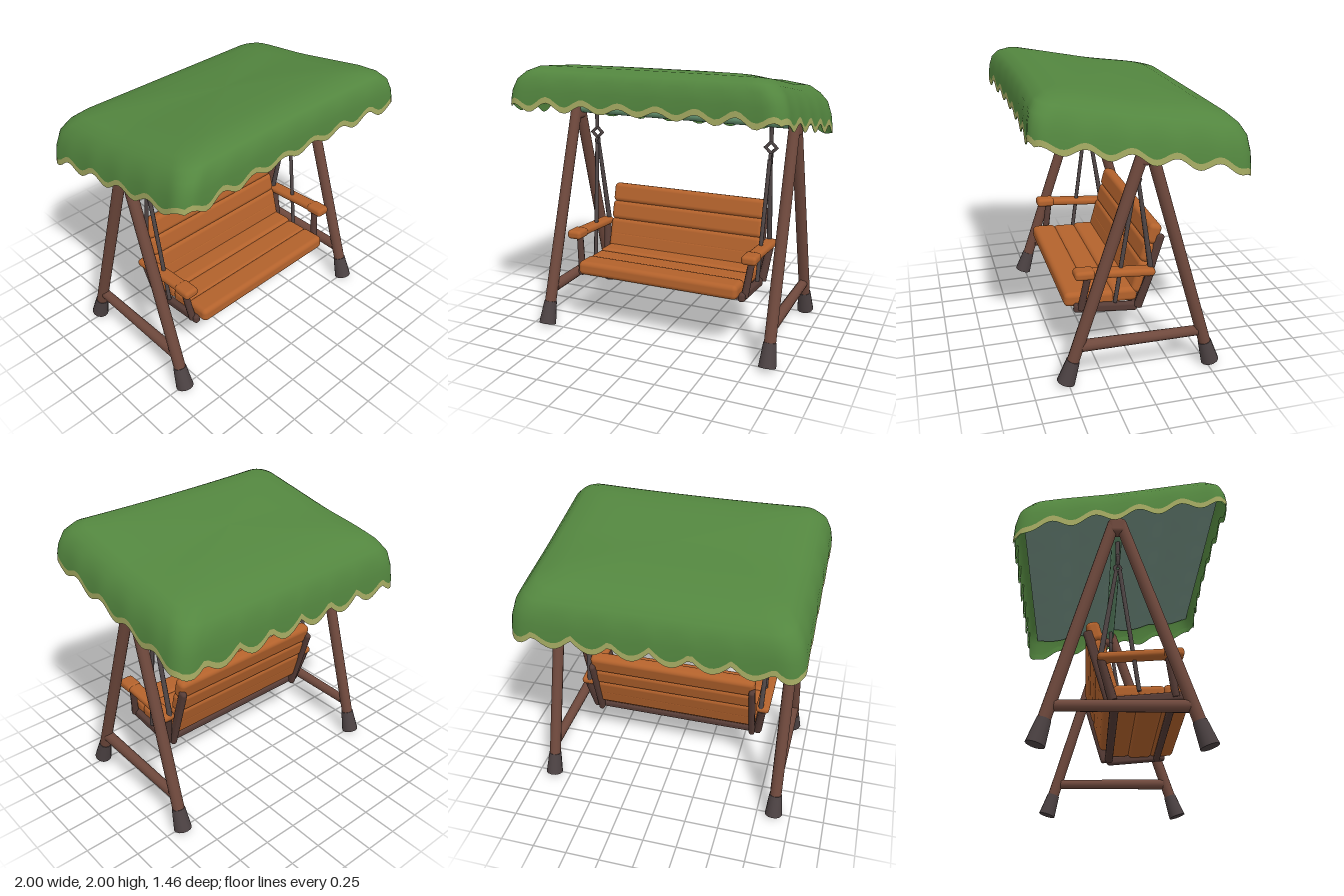
import * as THREE from 'three';
import { RoundedBoxGeometry } from 'three/addons/geometries/RoundedBoxGeometry.js';

const mat = (name, color, side = THREE.FrontSide) => {
  const m = new THREE.MeshStandardMaterial({ color, side });
  m.name = name;
  return m;
};

export function createModel() {
  const root = new THREE.Group();
  root.name = 'gardenSwing';
  const green = mat('canopyGreen', 0x53863f, THREE.DoubleSide);
  const trim = mat('trimGreen', 0xa5aa62);
  const lining = mat('liningGrey', 0x7a998b, THREE.DoubleSide);
  const beamMat = mat('beamGreen', 0x64926f);
  const brown = mat('frameBrown', 0x6f493d);
  const footMat = mat('footGrey', 0x4c4243);
  const metal = mat('hangerGrey', 0x514747);
  const darkWood = mat('seatFrameBrown', 0x563c36);
  const wood = mat('orangeWood', 0xb3622c);

  const add = (name, geo, material) => {
    const m = new THREE.Mesh(geo, material);
    m.name = name;
    root.add(m);
    return m;
  };
  // Round bar between two points, radius ra at a and rb at b
  const bar = (name, a, b, ra, rb, material, sides = 12) => {
    const A = new THREE.Vector3(...a), B = new THREE.Vector3(...b);
    const d = B.clone().sub(A);
    const m = add(name, new THREE.CylinderGeometry(rb, ra, d.length(), sides), material);
    m.position.copy(A).add(B).multiplyScalar(0.5);
    m.quaternion.setFromUnitVectors(new THREE.Vector3(0, 1, 0), d.normalize());
  };
  // Rounded board with a tilt about x
  const board = (name, size, pos, tilt, material, r = 0.025) => {
    const m = add(name, new RoundedBoxGeometry(...size, 3, r), material);
    m.position.set(...pos);
    m.rotation.x = tilt;
  };

  // Canopy: rounded rectangular rings stacked above a sloping plane
  const planeY = z => 1.605 + 0.19 * z;
  const perimeter = [];
  const N = 56;
  for (const [sx, sz, dx, dz] of [[-1, 1, 1, 0], [1, 1, 0, -1], [1, -1, -1, 0], [-1, -1, 0, 1]])
    for (let i = 0; i < N; i++) perimeter.push([sx + dx * 2 * i / N, sz + dz * 2 * i / N, dx !== 0]);

  const ringPoint = ([u, v, alongX], [hx, hz, h, wave]) => {
    const r = Math.min(0.13, hx, hz);
    let x = u * hx, z = v * hz;
    const cx = THREE.MathUtils.clamp(x, r - hx, hx - r), cz = THREE.MathUtils.clamp(z, r - hz, hz - r);
    const ex = x - cx, ez = z - cz, len = Math.hypot(ex, ez);
    if (Math.abs(ex) > 1e-6 && Math.abs(ez) > 1e-6) {
      x = cx + ex / len * r;
      z = cz + ez / len * r;
    }
    // Scallops: soft at the front and sides, deep with sharp peaks at the back
    const corner = Math.pow(Math.abs(alongX ? u : v), 8);
    let scallop;
    if (!alongX) scallop = 0.03 * Math.cos(2 * Math.PI * (z - 0.39) / 0.29);
    else if (v > 0) scallop = -(0.022 + 0.03 * x * x) * Math.cos(2 * Math.PI * x / 0.27);
    else scallop = 0.045 - 0.09 * Math.abs(Math.sin(Math.PI * x / 0.27));
    const drop = v < 0 ? 0.04 * corner : 0;
    // The back of the top is a little fuller
    const full = 1 + 0.07 * THREE.MathUtils.smoothstep(-z, 0, 0.5);
    const y = planeY(z) + h * full + wave * (scallop * (1 - corner) - drop);
    if (z > 0) z -= 0.04 * (1 - x * x) * z / 0.735;
    return [x, y, z];
  };
  const shell = rings => {
    const pos = [], idx = [], n = perimeter.length;
    rings.forEach(ring => perimeter.forEach(p => pos.push(...ringPoint(p, ring))));
    for (let i = 0; i < rings.length - 1; i++)
      for (let j = 0; j < n; j++) {
        const k = (j + 1) % n, a = i * n + j, b = i * n + k, c = b + n, d = a + n;
        idx.push(a, b, c, a, c, d);
      }
    const g = new THREE.BufferGeometry();
    g.setAttribute('position', new THREE.Float32BufferAttribute(pos, 3));
    g.setIndex(idx);
    g.computeVertexNormals();
    return g;
  };
  const hemTop = [0.997, 0.732, 0.027, 1];
  add('canopyTrim', shell([[1, 0.735, -0.014, 1], hemTop]), trim);
  add('hemInside', shell([[0.995, 0.73, -0.014, 1], [0.993, 0.728, 0.03, 1]]), green);
  add('canopy', shell([hemTop, [0.985, 0.727, 0.1, 0.4], [0.955, 0.71, 0.18, 0], [0.905, 0.67, 0.237, 0],
    [0.84, 0.6, 0.28, 0], [0.68, 0.47, 0.304, 0], [0.4, 0.27, 0.318, 0], [0, 0, 0.325, 0]]), green);

  // Quilted lining below the canopy
  const quilt = new THREE.PlaneGeometry(1.9, 1.34, 48, 32).rotateX(Math.PI / 2);
  const q = quilt.attributes.position;
  for (let i = 0; i < q.count; i++) {
    const x = q.getX(i), z = q.getZ(i);
    const puff = Math.abs(Math.sin(x * Math.PI / 0.38) * Math.sin(z * Math.PI / 0.33));
    q.setY(i, planeY(z) + 0.125 - 0.03 * puff);
  }
  quilt.computeVertexNormals();
  add('canopyLining', quilt, lining);

  // Top beam
  bar('topBeam', [-0.86, 1.605, -0.03], [0.86, 1.605, -0.03], 0.036, 0.036, beamMat);

  for (const s of [-1, 1]) {
    const side = s > 0 ? 'left' : 'right';
    // A-frame legs with flared feet
    for (const [end, zt, zb] of [['Front', -0.01, 0.525], ['Back', -0.06, -0.53]]) {
      const at = y => [s * (0.878 - 0.01 * y), y, zb + (zt - zb) * y / 1.61];
      bar(side + end + 'Leg', at(0.15), at(1.61), 0.043, 0.041, brown);
      bar(side + end + 'Foot', at(0.018), at(0.18), 0.064, 0.047, footMat);
    }
    board(side + 'Apex', [0.085, 0.12, 0.12], [s * 0.862, 1.58, -0.035], 0, brown, 0.03);
    bar(side + 'Crossbar', [s * 0.872, 0.28, 0.41], [s * 0.872, 0.27, -0.42], 0.042, 0.036, brown);

    // Hanger: hook, diamond link and two rods
    bar(side + 'Hook', [s * 0.695, 1.58, -0.025], [s * 0.695, 1.45, -0.025], 0.016, 0.014, metal, 8);
    const link = add(side + 'Link', new THREE.TorusGeometry(0.041, 0.016, 6, 4), metal);
    link.position.set(s * 0.695, 1.425, -0.025);
    const lower = add(side + 'LowerLink', new THREE.TorusGeometry(0.022, 0.012, 6, 8), metal);
    lower.position.set(s * 0.695, 1.36, -0.025);
    lower.rotation.y = Math.PI / 2;
    bar(side + 'FrontRod', [s * 0.692, 1.34, -0.01], [s * 0.665, 0.46, 0.115], 0.015, 0.015, metal, 8);
    bar(side + 'BackRod', [s * 0.692, 1.34, -0.035], [s * 0.672, 0.68, -0.14], 0.014, 0.02, metal, 8);

    // Seat side frame
    board(side + 'SeatRail', [0.05, 0.065, 0.46], [s * 0.637, 0.417, 0.175], -0.1, darkWood, 0.02);
    board(side + 'BackUpright', [0.045, 0.56, 0.065], [s * 0.61, 0.645, -0.147], -0.29, darkWood, 0.02);
    bar(side + 'ArmPost', [s * 0.65, 0.43, 0.355], [s * 0.685, 0.7, 0.31], 0.027, 0.025, darkWood, 8);
    bar(side + 'ArmBracket', [s * 0.65, 0.4, -0.055], [s * 0.685, 0.67, -0.135], 0.032, 0.028, darkWood, 8);

    // Armrest: gently drooping boards
    board(side + 'Armrest', [0.1, 0.055, 0.5], [s * 0.685, 0.7, 0.09], -0.08, wood);
    board(side + 'ArmrestTip', [0.112, 0.065, 0.14], [s * 0.685, 0.718, 0.34], -0.03, wood);
  }

  // Rails below the bench
  board('frontSeatRail', [1.28, 0.045, 0.05], [0, 0.425, 0.34], 0, darkWood, 0.015);
  board('backSeatRail', [1.3, 0.055, 0.06], [0, 0.405, -0.04], 0, darkWood, 0.02);

  // Seat slats
  [[0.37, 0.485], [0.2, 0.472], [0.03, 0.476]].forEach(([z, y], i) =>
    board('seatSlat' + (i + 1), [1.25, 0.105, 0.187], [0, y, z], -0.05, wood, 0.035));

  // Leaning backrest slats
  [0.55, 0.645, 0.78, 0.915].forEach((y, i) =>
    board('backSlat' + (i + 1), [1.25, 0.15, 0.095], [0, y, -0.08 - (y - 0.55) * 0.27], -0.26, wood, 0.034));

  return root;
}
